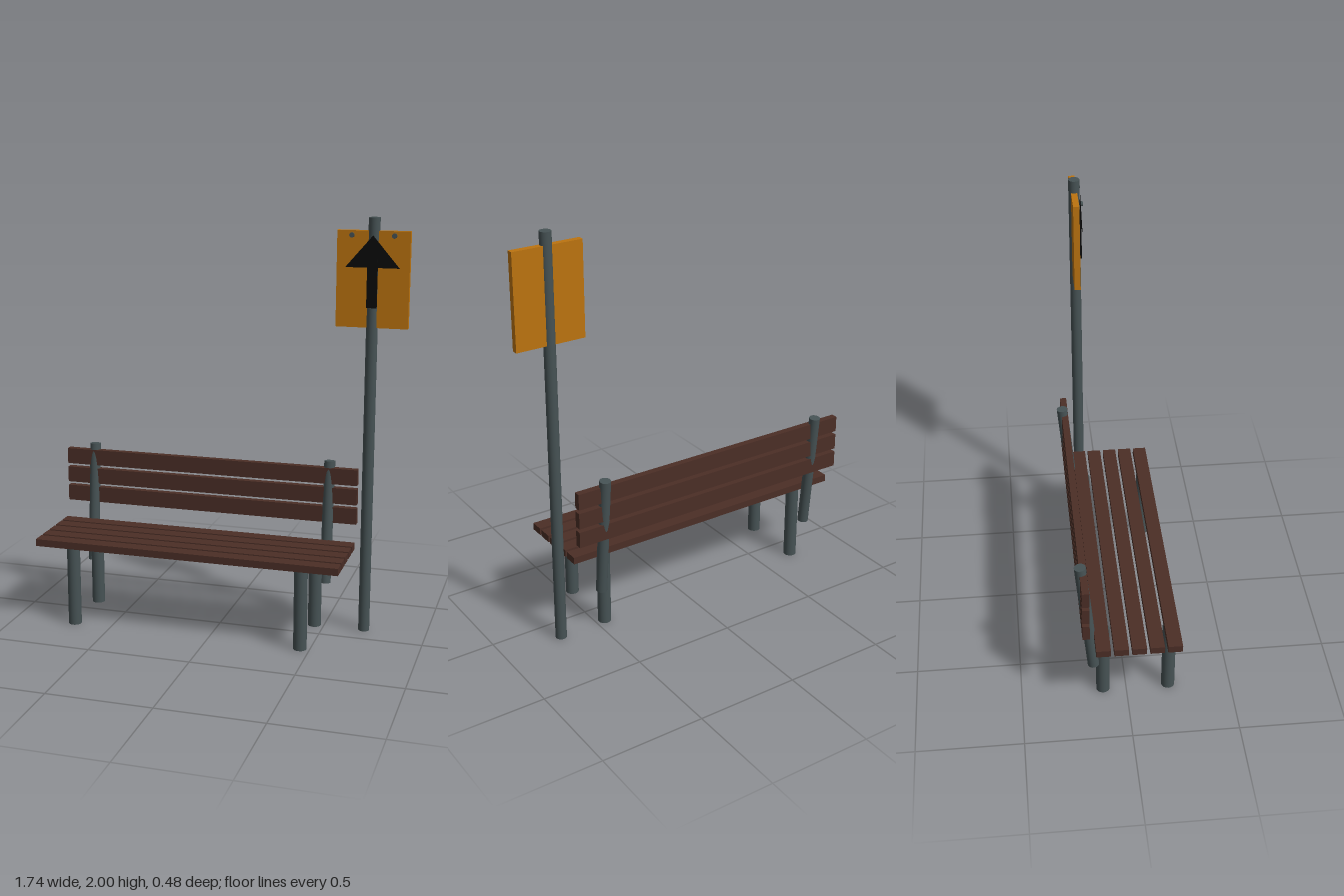
import * as THREE from 'three';

const mat = (name, color) => {
  const m = new THREE.MeshStandardMaterial({ color });
  m.name = name;
  return m;
};

export function createModel() {
  const root = new THREE.Group();
  root.name = 'benchWithSign';
  const wood = mat('dark brown wood', 0x4b2e26);
  const metal = mat('grey green metal', 0x465254);
  const orange = mat('orange sign', 0xbc7410);
  const black = mat('black paint', 0x0b0b0b);
  black.side = THREE.DoubleSide;

  const add = (parent, name, geo, material, x, y, z) => {
    const m = new THREE.Mesh(geo, material);
    m.name = name;
    m.position.set(x, y, z);
    parent.add(m);
    return m;
  };

  const bench = new THREE.Group();
  bench.name = 'bench';
  root.add(bench);
  const slatX = -0.118, slatLength = 1.506;

  // Five seat slats
  const seatSlat = new THREE.BoxGeometry(slatLength, 0.035, 0.067);
  for (let i = 0; i < 5; i++) add(bench, 'seatSlat', seatSlat, wood, slatX, 0.411, -0.122 + i * 0.082);

  // Three upright backrest slats
  const backSlat = new THREE.BoxGeometry(slatLength, 0.079, 0.033);
  for (let i = 0; i < 3; i++) add(bench, 'backSlat', backSlat, wood, slatX, 0.55 + i * 0.0975, -0.2);

  // Four legs and two leaning backrest posts
  const leg = new THREE.CylinderGeometry(0.032, 0.032, 0.395, 24);
  const post = new THREE.CylinderGeometry(0.027, 0.027, 0.608, 24);
  for (const side of [-1, 1]) {
    for (const z of [0.202, -0.111]) add(bench, 'leg', leg, metal, slatX + side * 0.571, 0.1975, z);
    add(bench, 'backPost', post, metal, slatX + side * 0.611, 0.512, -0.186).rotation.x = -0.092;
  }

  // Sign pole and panel
  const sign = new THREE.Group();
  sign.name = 'sign';
  sign.position.set(0.698, 0, -0.118);
  root.add(sign);
  add(sign, 'signPole', new THREE.CylinderGeometry(0.027, 0.027, 2, 24), metal, 0, 1, 0);
  add(sign, 'signPanel', new THREE.BoxGeometry(0.338, 0.446, 0.03), orange, 0, 1.717, -0.001);

  // Arrow: shaft plate and flat head
  add(sign, 'arrowShaft', new THREE.BoxGeometry(0.048, 0.255, 0.009), black, 0, 1.7155, 0.0275);
  const head = new THREE.Shape([
    new THREE.Vector2(-0.126, 1.773),
    new THREE.Vector2(0.126, 1.773),
    new THREE.Vector2(0, 1.92),
  ]);
  add(sign, 'arrowHead', new THREE.ShapeGeometry(head), black, 0, 0, 0.03);

  // Two bolt heads near the top of the panel
  const bolt = new THREE.CylinderGeometry(0.012, 0.012, 0.009, 16).rotateX(Math.PI / 2);
  for (const side of [-1, 1]) add(sign, 'bolt', bolt, metal, side * 0.098, 1.92, 0.03);

  return root;
}
